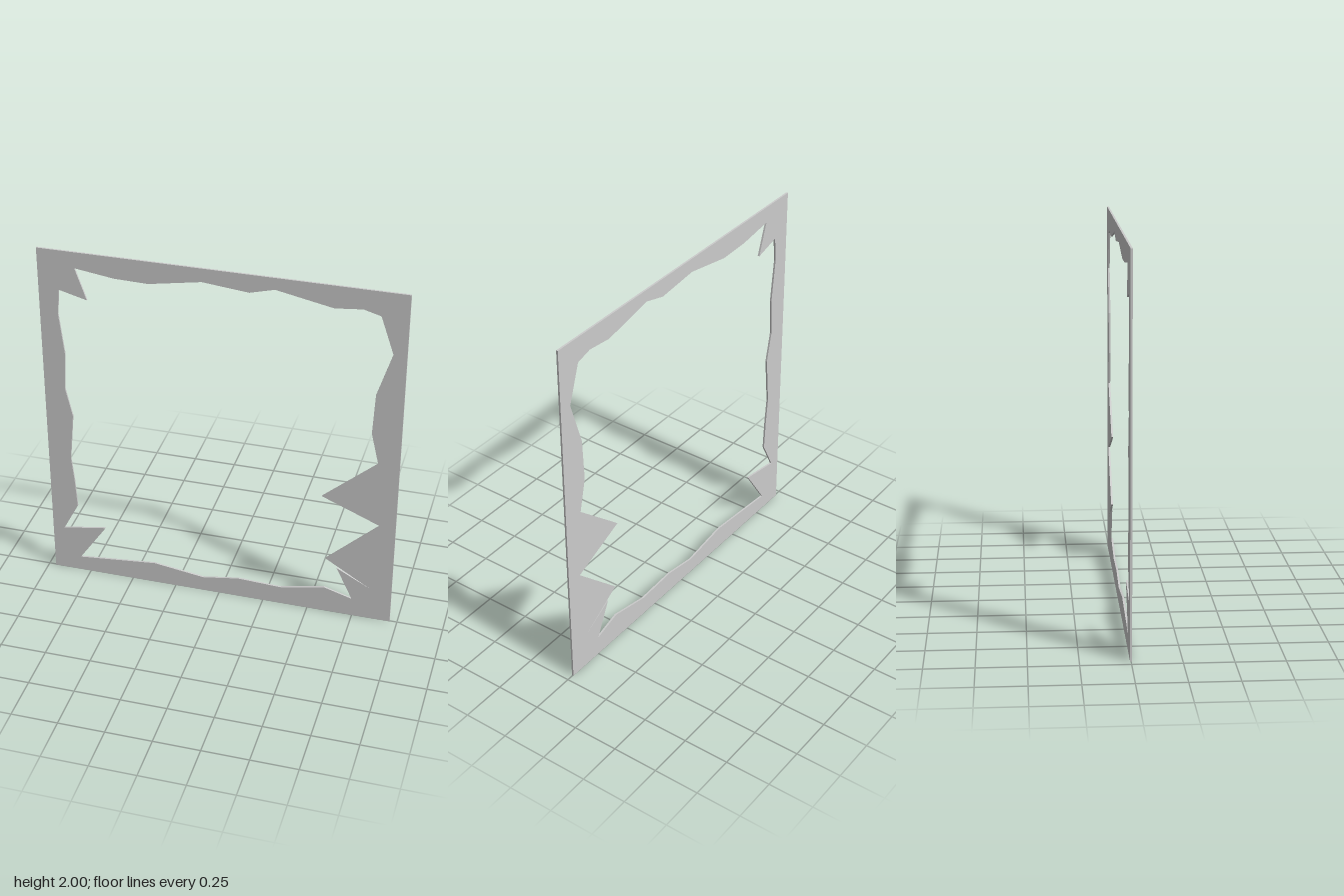
import * as THREE from 'three';

const HALF_WIDTH = 0.96, HEIGHT = 2, THICKNESS = 0.01;

// Jagged inner edge of the broken pane, clockwise from the top left corner
const BROKEN_EDGE = [
  // top
  [-0.76, 1.91], [-0.55, 1.88], [-0.37, 1.875], [-0.09, 1.925], [0.155, 1.9],
  [0.285, 1.935], [0.585, 1.875], [0.73, 1.89], [0.82, 1.865],
  // +x side with two large shards and a narrow crack
  [0.89, 1.66], [0.815, 1.415], [0.805, 1.185], [0.847, 1.005], [0.56, 0.753],
  [0.875, 0.62], [0.592, 0.353], [0.845, 0.197], [0.656, 0.3], [0.745, 0.11],
  // bottom
  [0.59, 0.157], [0.35, 0.107], [0.11, 0.118], [-0.09, 0.086], [-0.37, 0.127],
  [-0.807, 0.086],
  // -x side with a corner shard at each end
  [-0.653, 0.312], [-0.895, 0.272], [-0.81, 0.435], [-0.82, 0.6], [-0.835, 0.75],
  [-0.81, 1.02], [-0.846, 1.185], [-0.835, 1.395], [-0.862, 1.635],
  [-0.85, 1.775], [-0.7, 1.735],
];

const toPoints = (pairs) => pairs.map(([x, y]) => new THREE.Vector2(x, y));

export function createModel() {
  const group = new THREE.Group();
  group.name = 'brokenWindowPane';

  // Rectangular pane with the shattered opening cut out
  const outline = new THREE.Shape(toPoints([
    [-HALF_WIDTH, 0], [HALF_WIDTH, 0], [HALF_WIDTH, HEIGHT], [-HALF_WIDTH, HEIGHT],
  ]));
  outline.holes.push(new THREE.Path(toPoints(BROKEN_EDGE)));

  const geometry = new THREE.ExtrudeGeometry(outline, { depth: THICKNESS, bevelEnabled: false });
  geometry.translate(0, 0, -THICKNESS / 2);

  const pane = new THREE.Mesh(
    geometry,
    new THREE.MeshStandardMaterial({ color: 0xcccccc, flatShading: true }),
  );
  pane.name = 'jaggedGlass';
  group.add(pane);
  return group;
}
